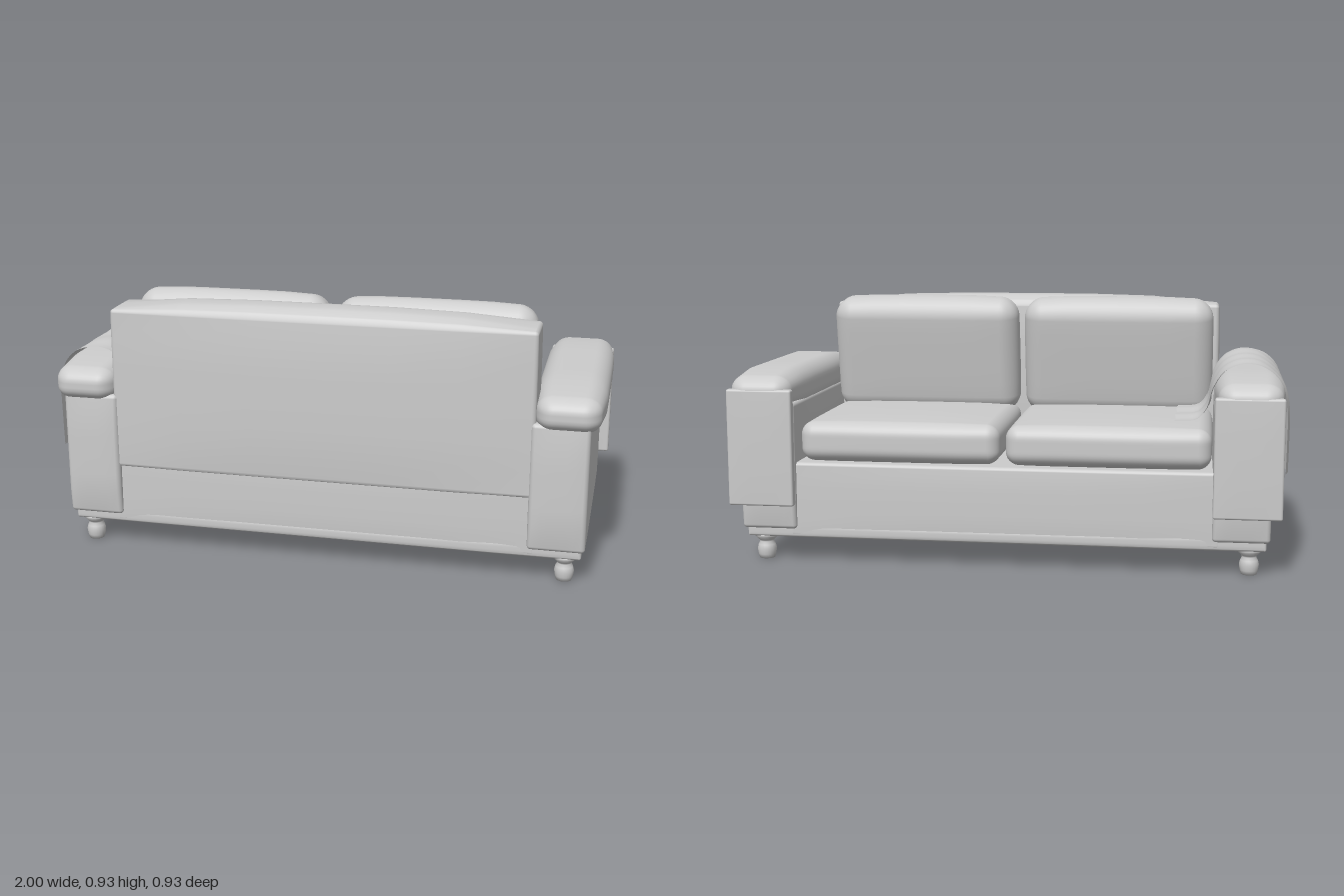
import * as THREE from 'three';
import { mergeVertices } from 'three/addons/utils/BufferGeometryUtils.js';

const CX = 0.012; // middle of the frame; the throw overhangs on one side

// Box with rounded edges (r), faces swollen by bulge [x, y, z], optional extra rule per vertex
function softBox(w, h, d, r, bulge = [0, 0, 0], rule) {
  const n = 14, e = 4;
  const g = new THREE.BoxGeometry(2, 2, 2, n, n, n);
  g.deleteAttribute('uv');
  g.deleteAttribute('normal');
  const half = [w / 2, h / 2, d / 2];
  const pos = g.attributes.position;
  const place = (t, s) => {
    const i = Math.round((t + 1) / 2 * n);
    const edge = k => s - r + r * Math.tan((e - k) / e * Math.PI / 4);
    if (i <= e) return -edge(i);
    if (i >= n - e) return edge(n - i);
    return (s - r) * ((i - e) / (n - 2 * e) * 2 - 1);
  };
  for (let i = 0; i < pos.count; i++) {
    const p = [pos.getX(i), pos.getY(i), pos.getZ(i)].map((t, a) => place(t, half[a]));
    const core = p.map((c, a) => THREE.MathUtils.clamp(c, r - half[a], half[a] - r));
    const off = new THREE.Vector3(...p.map((c, a) => c - core[a])).setLength(r);
    const v = new THREE.Vector3(...core).add(off);
    const u = v.toArray().map((c, a) => c / half[a]);
    const f = u.map(c => 1 - c ** 4);
    v.x += bulge[0] * u[0] * f[1] * f[2];
    v.y += bulge[1] * u[1] * f[0] * f[2];
    v.z += bulge[2] * u[2] * f[0] * f[1];
    if (rule) rule(v);
    pos.setXYZ(i, v.x, v.y, v.z);
  }
  const m = mergeVertices(g, 1e-5);
  m.computeVertexNormals();
  return m;
}

export function createModel() {
  const model = new THREE.Group();
  const grey = new THREE.MeshStandardMaterial({ color: 0xcccccc });
  grey.name = 'light grey';
  grey.side = THREE.DoubleSide;

  const add = (name, geo, x, y, z) => {
    const m = new THREE.Mesh(geo, grey);
    m.name = name;
    m.position.set(CX + x, y, z);
    model.add(m);
    return m;
  };

  // Frame
  add('basePlate', softBox(1.86, 0.05, 0.82, 0.008, [0.01, 0.006, 0.01]), 0, 0.112, 0.004);
  add('seatBase', softBox(1.54, 0.27, 0.83, 0.012, [0, 0, 0.006]), 0, 0.228, 0.004);

  // Back rest, crowned along the top and flat underneath
  add('backRest', softBox(1.51, 0.585, 0.175, 0.012, [0.005, 0.034, 0.012], v => {
    v.y = Math.max(v.y, -0.2925);
  }), 0, 0.6025, 0.345);

  // Arms, mirrored
  for (const s of [-1, 1]) {
    add('armBody', softBox(0.2, 0.46, 0.87, 0.014, [0.004, 0, 0.01], v => {
      if (v.y < -0.15) v.z *= 0.985;
    }), s * 0.843, 0.35, 0.005);
    add('armPad', softBox(0.236, 0.153, 0.922, 0.06, [0.005, 0.003, 0], v => {
      const t = THREE.MathUtils.smoothstep(Math.abs(v.z), 0.3, 0.48);
      v.x *= 1 - 0.12 * t;
      v.y *= 1 - 0.3 * t;
    }), s * 0.865, 0.613, 0.003);
    add('armFrontPanel', softBox(0.238, 0.42, 0.036, 0.008, [0, 0, 0.003]), s * 0.862, 0.42, -0.441);

    // Seat and back cushions
    add('seatCushion', softBox(0.722, 0.14, 0.64, 0.045, [0.004, 0.012, 0.006]), s * 0.373, 0.435, -0.07);
    const back = add('backCushion', softBox(0.715, 0.44, 0.155, 0.066, [0.004, 0.012, 0.006]), s * 0.373, 0.7, 0.188);
    back.rotation.x = -0.17;
  }

  // Turned feet
  const foot = new THREE.LatheGeometry([
    [0, 0], [0.028, 0], [0.032, 0.015], [0.035, 0.035], [0.031, 0.05],
    [0.025, 0.062], [0.028, 0.068], [0.04, 0.08], [0.04, 0.09], [0, 0.09],
  ].map(p => new THREE.Vector2(...p)), 20);
  for (const x of [-0.873, 0.873]) {
    for (const z of [0.375, -0.365]) add('foot', foot, x, 0, z);
  }

  // Throw draped over one arm, with soft ripples along its length
  const drape = new THREE.CatmullRomCurve3([
    [-0.988, 0.34], [-0.99, 0.46], [-0.988, 0.58], [-0.965, 0.665], [-0.91, 0.715], [-0.83, 0.728],
    [-0.765, 0.7], [-0.725, 0.64], [-0.705, 0.57], [-0.67, 0.53], [-0.592, 0.522],
  ].map(([x, y]) => new THREE.Vector3(x, y, 0)));
  const cloth = new THREE.PlaneGeometry(1, 1, 40, 28);
  const cp = cloth.attributes.position;
  for (let i = 0; i < cp.count; i++) {
    const p = drape.getPoint(cp.getX(i) + 0.5);
    const z = 0.01 - cp.getY(i) * 0.62;
    const wave = Math.sin(z * 36);
    cp.setXYZ(i, Math.max(-1, p.x + 0.006 * wave * (p.x < -0.9 ? 1 : 0.4)), p.y + 0.003 * wave, z);
  }
  cloth.computeVertexNormals();
  add('throwBlanket', cloth, -CX, 0, 0);

  return model;
}
